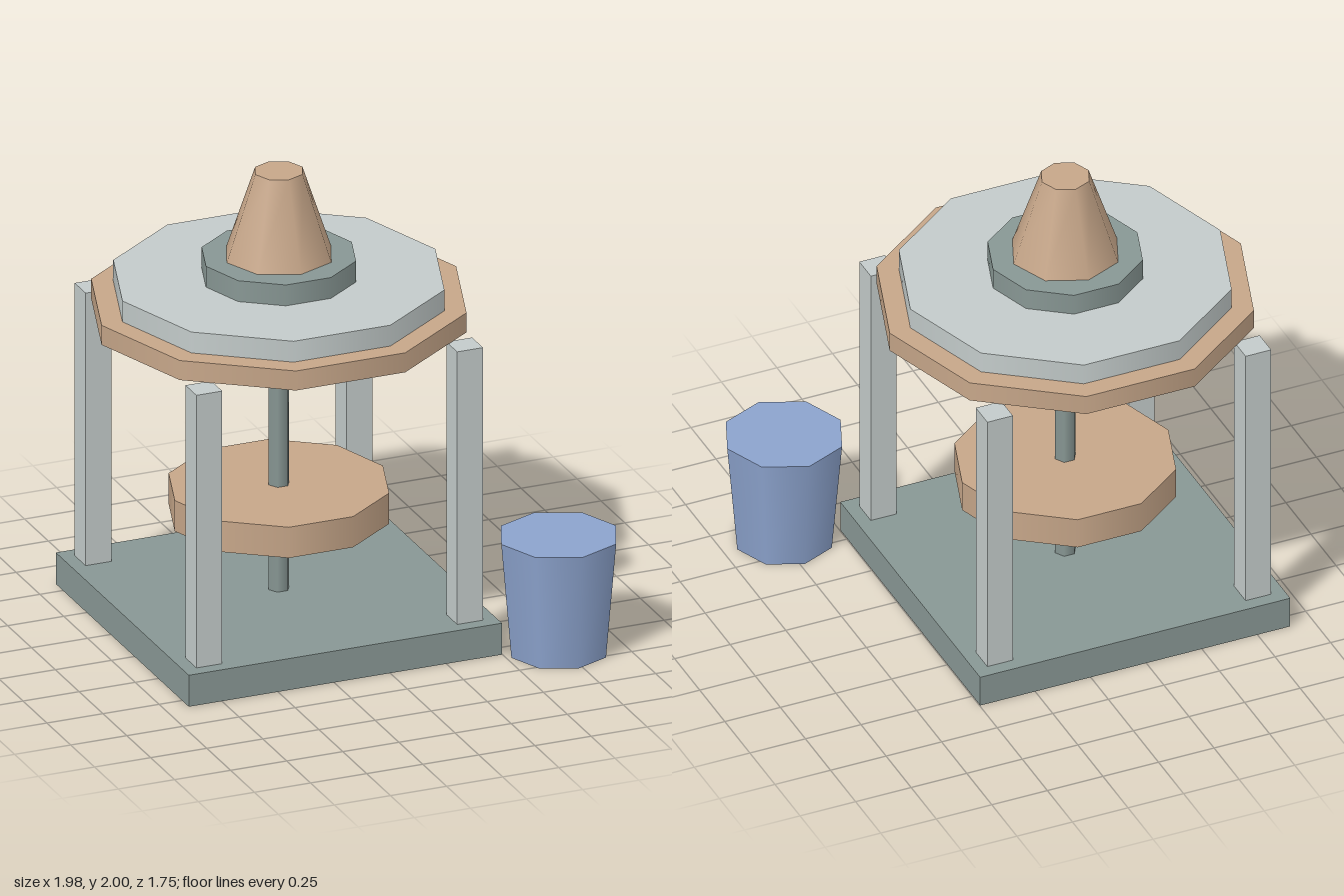
import * as THREE from 'three';

export function createModel() {
  const mat = (name, color) => {
    const m = new THREE.MeshStandardMaterial({ color });
    m.name = name;
    return m;
  };
  const clay = mat('clay tan', 0xc6a689);
  const slate = mat('slate grey', 0x889794);
  const pale = mat('pale grey', 0xc3cbca);
  const blue = mat('bucket blue', 0x8ca3cd);

  const model = new THREE.Group();
  model.name = 'pottersWheel';

  const add = (parent, name, geometry, material, x, y, z) => {
    const mesh = new THREE.Mesh(geometry, material);
    mesh.name = name;
    mesh.position.set(x, y, z);
    parent.add(mesh);
  };

  // Upright round part from y0 to y1, with a corner on the x axis
  const round = (parent, name, material, rTop, rBottom, y0, y1, sides) => {
    const g = new THREE.CylinderGeometry(rTop, rBottom, y1 - y0, sides);
    g.rotateY(Math.PI / 2);
    add(parent, name, g, material, 0, (y0 + y1) / 2, 0);
  };

  const wheel = new THREE.Group();
  wheel.name = 'wheel';
  wheel.position.set(-0.2, 0, -0.127);
  model.add(wheel);

  // Frame: base slab and four corner posts
  add(wheel, 'base', new THREE.BoxGeometry(1.395, 0.14, 1.395), slate, 0, 0.07, 0);
  for (const sx of [-1, 1]) {
    for (const sz of [-1, 1]) {
      add(wheel, 'post', new THREE.BoxGeometry(0.115, 1.215, 0.115), pale, sx * 0.581, 0.7475, sz * 0.581);
    }
  }

  // Spindle and flywheel
  round(wheel, 'spindle', slate, 0.046, 0.046, 0.14, 1.355, 6);
  round(wheel, 'flywheel', clay, 0.464, 0.464, 0.47, 0.607, 10);

  // Stacked turntable with the clay cone on top
  round(wheel, 'table', clay, 0.79, 0.79, 1.355, 1.442, 10);
  round(wheel, 'tray', pale, 0.697, 0.697, 1.442, 1.535, 10);
  round(wheel, 'wheelHead', slate, 0.325, 0.325, 1.535, 1.628, 10);
  round(wheel, 'clayCone', clay, 0.105, 0.232, 1.628, 2, 8);

  // Water bucket beside the frame
  const bucket = new THREE.Group();
  bucket.name = 'waterBucket';
  bucket.position.set(0.73, 0, 0.617);
  model.add(bucket);
  round(bucket, 'bucket', blue, 0.255, 0.21, 0, 0.513, 8);

  return model;
}
